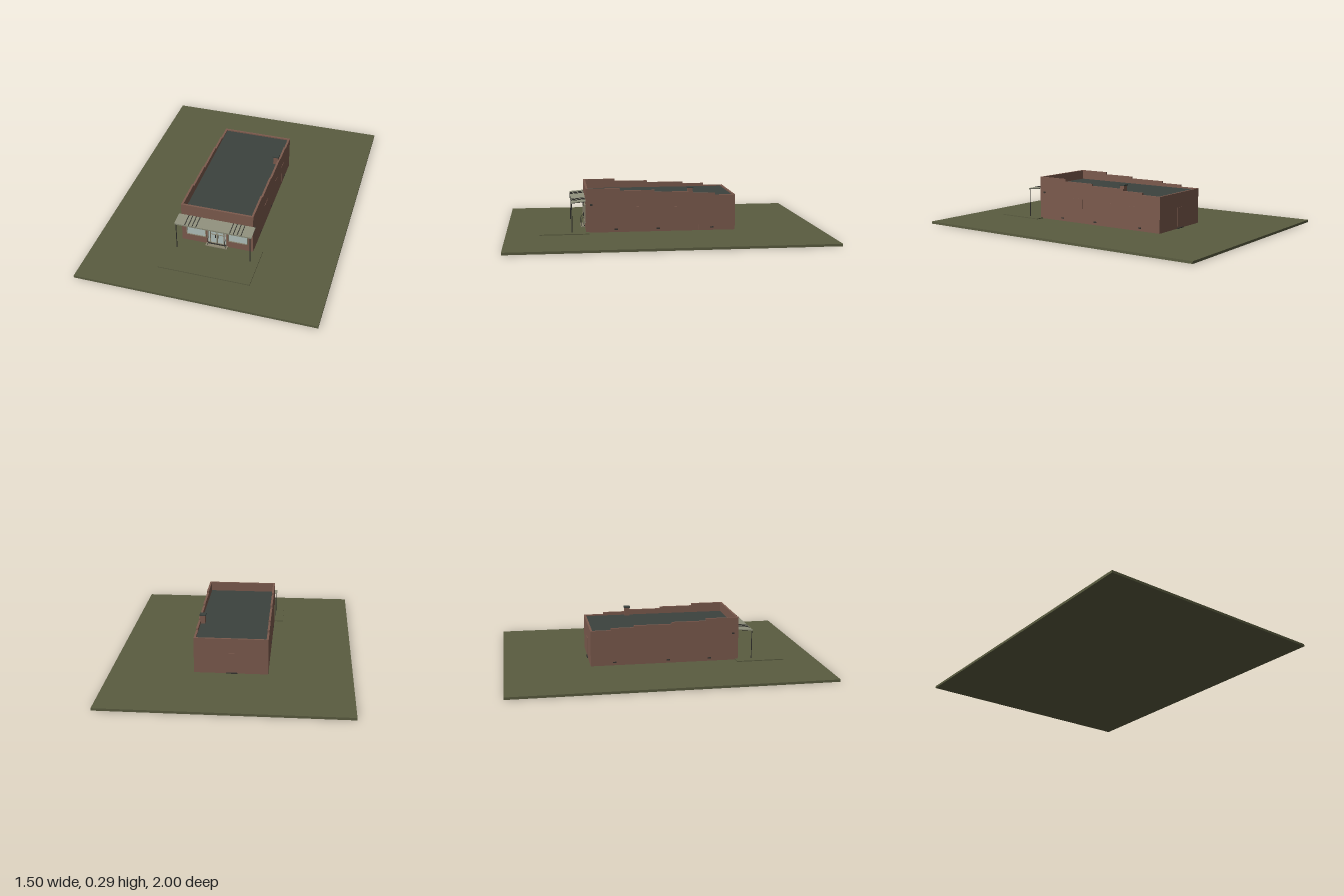
import * as THREE from 'three';

const mat = (name, color) => {
  const m = new THREE.MeshStandardMaterial({ color });
  m.name = name;
  return m;
};

export function createModel() {
  const grass = mat('grass', 0x5a5c40);
  const brick = mat('brick', 0x7b5a4d);
  const roofing = mat('roofing', 0x3c423e);
  const awningMat = mat('awning', 0x8f907c);
  const glass = mat('glass', 0xb0bfba);
  const frame = mat('frame', 0x8b8570);
  const dark = mat('dark metal', 0x34332f);

  const model = new THREE.Group();
  model.name = 'storefrontBuilding';

  // Box given by its limits on each axis
  const box = (name, material, x0, x1, y0, y1, z0, z1, parent = model) => {
    const mesh = new THREE.Mesh(new THREE.BoxGeometry(x1 - x0, y1 - y0, z1 - z0), material);
    mesh.position.set((x0 + x1) / 2, (y0 + y1) / 2, (z0 + z1) / 2);
    mesh.name = name;
    parent.add(mesh);
    return mesh;
  };
  const rod = (name, points, radius) => {
    const path = new THREE.CatmullRomCurve3(points.map((p) => new THREE.Vector3(...p)));
    const mesh = new THREE.Mesh(new THREE.TubeGeometry(path, 12, radius, 6), dark);
    mesh.name = name;
    model.add(mesh);
  };

  // Ground and paving
  const G = 0.015;
  box('ground', grass, -0.75, 0.75, 0, G, -1, 1);
  box('forecourt', grass, -0.29, 0.29, G, 0.021, 0.48, 0.79);
  box('frontStep', frame, -0.07, 0.07, 0.021, 0.027, 0.5, 0.527);

  // Side walls whose parapets step down toward the back
  const profile = new THREE.Shape();
  [[0.5, G], [0.5, 0.295], [0.285, 0.295], [0.285, 0.28], [0.065, 0.28], [0.065, 0.268],
    [-0.18, 0.268], [-0.18, 0.256], [-0.325, 0.256], [-0.325, 0.243], [-0.455, 0.243], [-0.455, G]]
    .forEach(([z, y], i) => (i ? profile.lineTo(-z, y) : profile.moveTo(-z, y)));
  const T = 0.013;
  const wallGeo = new THREE.ExtrudeGeometry(profile, { depth: T, bevelEnabled: false });
  wallGeo.rotateY(Math.PI / 2);
  for (const [name, x] of [['rightWall', -0.23], ['leftWall', 0.23 - T]]) {
    const wall = new THREE.Mesh(wallGeo, brick);
    wall.position.x = x;
    wall.name = name;
    model.add(wall);
  }
  box('frontWall', brick, -0.23 + T, 0.23 - T, G, 0.295, 0.5 - T, 0.5);
  box('backWall', brick, -0.23 + T, 0.23 - T, G, 0.243, -0.455, -0.455 + T);
  box('roof', roofing, -0.23 + T, 0.23 - T, 0.225, 0.235, -0.455 + T, 0.5 - T);

  // Chimney with cap
  box('chimney', brick, 0.189, 0.221, 0.23, 0.287, -0.181, -0.149);
  box('chimneyCap', roofing, 0.185, 0.225, 0.287, 0.295, -0.185, -0.145);

  // Display windows: pane with a four-sided frame
  const framedPane = (name, x0, x1, y0, y1, w, depth) => {
    const g = new THREE.Group();
    g.name = name;
    box('pane', glass, x0, x1, y0, y1, 0.498, 0.502, g);
    box('frameBottom', frame, x0 - w, x1 + w, y0 - w, y0, 0.498, 0.5 + depth, g);
    box('frameTop', frame, x0 - w, x1 + w, y1, y1 + w, 0.498, 0.5 + depth, g);
    box('frameSide', frame, x0 - w, x0, y0, y1, 0.498, 0.5 + depth, g);
    box('frameSide', frame, x1, x1 + w, y0, y1, 0.498, 0.5 + depth, g);
    model.add(g);
  };
  framedPane('rightWindow', -0.194, -0.076, 0.076, 0.184, 0.004, 0.007);
  framedPane('leftWindow', 0.076, 0.194, 0.076, 0.184, 0.004, 0.007);

  // Double entrance door with side lights
  framedPane('rightDoor', -0.041, -0.004, 0.04, 0.155, 0.004, 0.006);
  framedPane('leftDoor', 0.004, 0.041, 0.04, 0.155, 0.004, 0.006);
  box('doorHeader', dark, -0.06, 0.057, 0.159, 0.165, 0.5, 0.512);
  box('doorSill', dark, -0.06, 0.06, 0.027, 0.034, 0.5, 0.507);
  for (const s of [-1, 1]) {
    const cx = s * 0.052;
    box('sideLight', glass, cx - 0.005, cx + 0.005, 0.04, 0.159, 0.498, 0.502);
    box('doorJamb', frame, s * 0.059 - 0.002, s * 0.059 + 0.002, 0.034, 0.159, 0.498, 0.506);
    box('doorRail', frame, s * 0.0225 - 0.018, s * 0.0225 + 0.018, 0.105, 0.109, 0.5, 0.505);
    box('doorHandle', dark, s * 0.009 - 0.002, s * 0.009 + 0.002, 0.085, 0.105, 0.505, 0.51);
    rod('handrail', [[s * 0.055, 0.078, 0.502], [s * 0.055, 0.08, 0.515],
      [s * 0.056, 0.065, 0.523], [s * 0.058, 0.022, 0.525]], 0.0015);
  }
  box('conduit', dark, -0.031, -0.028, 0.165, 0.205, 0.5, 0.503);

  // Sloping awning with ribs, on two posts
  const awning = new THREE.Group();
  awning.name = 'awning';
  awning.position.set(0, 0.214, 0.545);
  awning.rotation.x = 0.09;
  box('awningSheet', awningMat, -0.245, 0.245, -0.002, 0.003, -0.045, 0.045, awning);
  box('awningFascia', awningMat, -0.245, 0.245, -0.007, 0.003, 0.042, 0.046, awning);
  for (const s of [-1, 1]) {
    for (const x of [0.107, 0.131, 0.155, 0.179]) {
      box('awningRib', dark, s * x - 0.0025, s * x + 0.0025, 0.003, 0.005, -0.044, 0.045, awning);
    }
  }
  model.add(awning);
  for (const s of [-1, 1]) {
    rod('awningPost', [[s * 0.236, G, 0.588], [s * 0.236, 0.11, 0.588], [s * 0.236, 0.207, 0.588]], 0.0028);
    rod('awningArm', [[s * 0.236, 0.206, 0.588], [s * 0.236, 0.21, 0.545], [s * 0.236, 0.214, 0.5]], 0.002);

    // Side wall vents, lamp and bricked-up openings
    const onSide = (name, material, y0, y1, z0, z1, d) =>
      box(name, material, s * 0.23 - d, s * 0.23 + d, y0, y1, z0, z1);
    for (const z of [0.31, 0.04, -0.305]) onSide('vent', dark, 0.03, 0.038, z - 0.011, z + 0.011, 0.002);
    onSide('wallLamp', dark, 0.187, 0.197, 0.458, 0.472, 0.005);
    if (s > 0) {
      onSide('brickedWindow', brick, 0.11, 0.175, 0.14, 0.23, 0.002);
      onSide('brickedDoor', brick, 0.02, 0.165, -0.28, -0.22, 0.002);
      onSide('lintel', brick, 0.163, 0.17, -0.1, -0.06, 0.002);
    }
  }

  // Back door and its sill
  box('backDoor', brick, -0.04, 0.03, 0.03, 0.15, -0.458, -0.455);
  box('backSill', dark, -0.04, 0.03, G, 0.02, -0.462, -0.455);

  return model;
}
